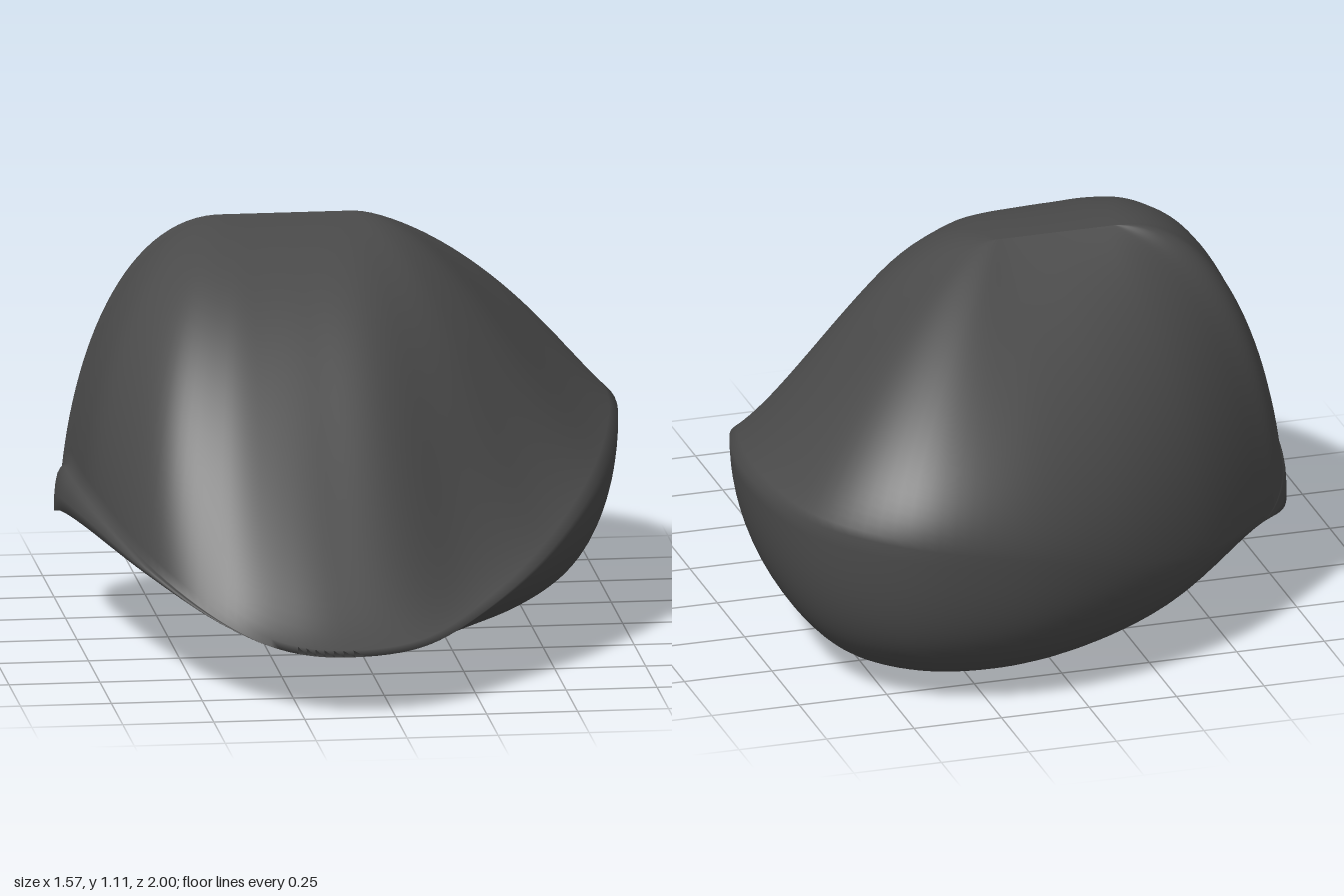
import * as THREE from 'three';
import { mergeVertices } from 'three/addons/utils/BufferGeometryUtils.js';

// Rim outline, counter-clockwise from the front tip: x, y, z
const RIM = [
  [-0.14, 0.17, 1], [0.08, 0.175, 0.93], [0.27, 0.22, 0.74], [0.49, 0.32, 0.47], [0.68, 0.45, 0.11],
  [0.78, 0.53, -0.36], [0.715, 0.53, -0.73], [0.5, 0.51, -0.945], [0.2, 0.46, -1], [-0.1, 0.38, -0.93],
  [-0.4, 0.31, -0.755], [-0.65, 0.275, -0.52], [-0.75, 0.27, -0.4], [-0.785, 0.31, -0.22], [-0.79, 0.36, 0],
  [-0.76, 0.38, 0.27], [-0.64, 0.33, 0.62], [-0.47, 0.24, 0.83], [-0.31, 0.185, 0.95],
];
// Dome profile handles at each rim point: fractions (inward, upward) for two handles
const UPPER = [
  [0.25, 0.08, 0.4, 1], [0.25, 0.09, 0.4, 1], [0.25, 0.12, 0.42, 1], [0.26, 0.2, 0.48, 1], [0.28, 0.27, 0.58, 0.99],
  [0.3, 0.3, 0.68, 0.97], [0.13, 0.32, 0.6, 0.87], [0.04, 0.32, 0.5, 0.77], [0.01, 0.32, 0.45, 0.7], [0.01, 0.36, 0.43, 0.73],
  [0.01, 0.4, 0.42, 0.8], [0.03, 0.45, 0.4, 0.9], [0.08, 0.5, 0.4, 1], [0.07, 0.5, 0.4, 1], [0.06, 0.5, 0.38, 1],
  [0.05, 0.42, 0.37, 1], [0.08, 0.32, 0.37, 1], [0.14, 0.21, 0.37, 1], [0.2, 0.13, 0.39, 1],
];
// Belly profile handles: fractions (inward, downward)
const LOWER = [
  [0.33, 0.3, 0.67, 0.8], [0.27, 0.32, 0.55, 0.88], [0.15, 0.38, 0.45, 0.93], [0.05, 0.45, 0.35, 0.97], [0, 0.55, 0.3, 1],
  [0, 0.6, 0.3, 1], [0, 0.65, 0.2, 1], [0, 0.65, 0.15, 1], [0, 0.65, 0.15, 1], [0, 0.6, 0.2, 1],
  [0.01, 0.48, 0.28, 1], [0.1, 0.25, 0.4, 1], [0.25, 0.05, 0.5, 0.95], [0.1, -0.3, 0.5, 0.93], [0.1, -0.3, 0.5, 0.92],
  [0.1, -0.2, 0.5, 0.9], [0.15, 0.1, 0.5, 0.9], [0.25, 0.28, 0.6, 0.85], [0.3, 0.3, 0.65, 0.82],
];
// Side lip: width and rise (zero where there is no lip)
const LIP_ROWS = { 12: [0.01, 0.1], 13: [0.04, 0.13], 14: [0.052, 0.09], 15: [0.05, 0.06], 16: [0.03, 0.02], 17: [0.01, 0.005] };
const LIP = RIM.map((_, i) => LIP_ROWS[i] || [0, 0]);

// Cyclic Catmull-Rom blend of table rows
function sample(table, u) {
  const n = table.length, i = Math.floor(u), t = u - i;
  const [a, b, c, d] = [-1, 0, 1, 2].map((k) => table[(i + k + n) % n]);
  return b.map((p, k) => p + 0.5 * t * (c[k] - a[k]
    + t * (2 * a[k] - 5 * p + 4 * c[k] - d[k] + t * (3 * (p - c[k]) + d[k] - a[k]))));
}

// Bezier whose handles are given as horizontal and vertical fractions of the span
function profile(from, to, [h1, v1, h2, v2]) {
  const handle = (h, v) => new THREE.Vector3(
    THREE.MathUtils.lerp(from.x, to.x, h),
    THREE.MathUtils.lerp(from.y, to.y, v),
    THREE.MathUtils.lerp(from.z, to.z, h));
  return new THREE.CubicBezierCurve3(from, handle(h1, v1), handle(h2, v2), to);
}

// One section: ridge -> dome -> lip -> belly
function section(u) {
  const rim = new THREE.Vector3(...sample(RIM, u));
  const [w, rise] = sample(LIP, u).map((v) => Math.max(0, v));
  const ridge = new THREE.Vector3(-0.13 + 0.18 * Math.tanh((rim.x + 0.13) / 0.35), 1.108, -0.3);
  const inward = ridge.clone().sub(rim).setY(0).normalize();
  const base = rim.clone().addScaledVector(inward, w);
  base.y += rise;
  const corner = rim.clone();
  corner.y += rise;
  const dome = profile(base, ridge, sample(UPPER, u)).getPoints(28).reverse();
  const lip = new THREE.QuadraticBezierCurve3(base, corner, rim).getPoints(5).slice(1);
  const belly = profile(rim, new THREE.Vector3(0.25, 0, -0.4), sample(LOWER, u)).getPoints(24).slice(1);
  return [...dome, ...lip, ...belly];
}

export function createModel() {
  const columns = RIM.length * 7;
  const positions = [], index = [];
  let rows = 0;
  for (let i = 0; i < columns; i++) {
    const points = section((i / columns) * RIM.length);
    rows = points.length;
    points.forEach((p) => positions.push(p.x, p.y, p.z));
  }
  for (let i = 0; i < columns; i++) {
    for (let j = 0; j < rows - 1; j++) {
      const a = i * rows + j, d = ((i + 1) % columns) * rows + j;
      index.push(a, a + 1, d + 1, a, d + 1, d);
    }
  }
  let geometry = new THREE.BufferGeometry();
  geometry.setAttribute('position', new THREE.Float32BufferAttribute(positions, 3));
  geometry.setIndex(index);
  geometry = mergeVertices(geometry, 1e-4);
  geometry.computeVertexNormals();

  const shell = new THREE.Mesh(geometry, new THREE.MeshStandardMaterial({ color: 0x4a4a4a, side: THREE.DoubleSide }));
  shell.name = 'sculptedShell';
  const group = new THREE.Group();
  group.name = 'sculptedBody';
  group.add(shell);
  return group;
}
